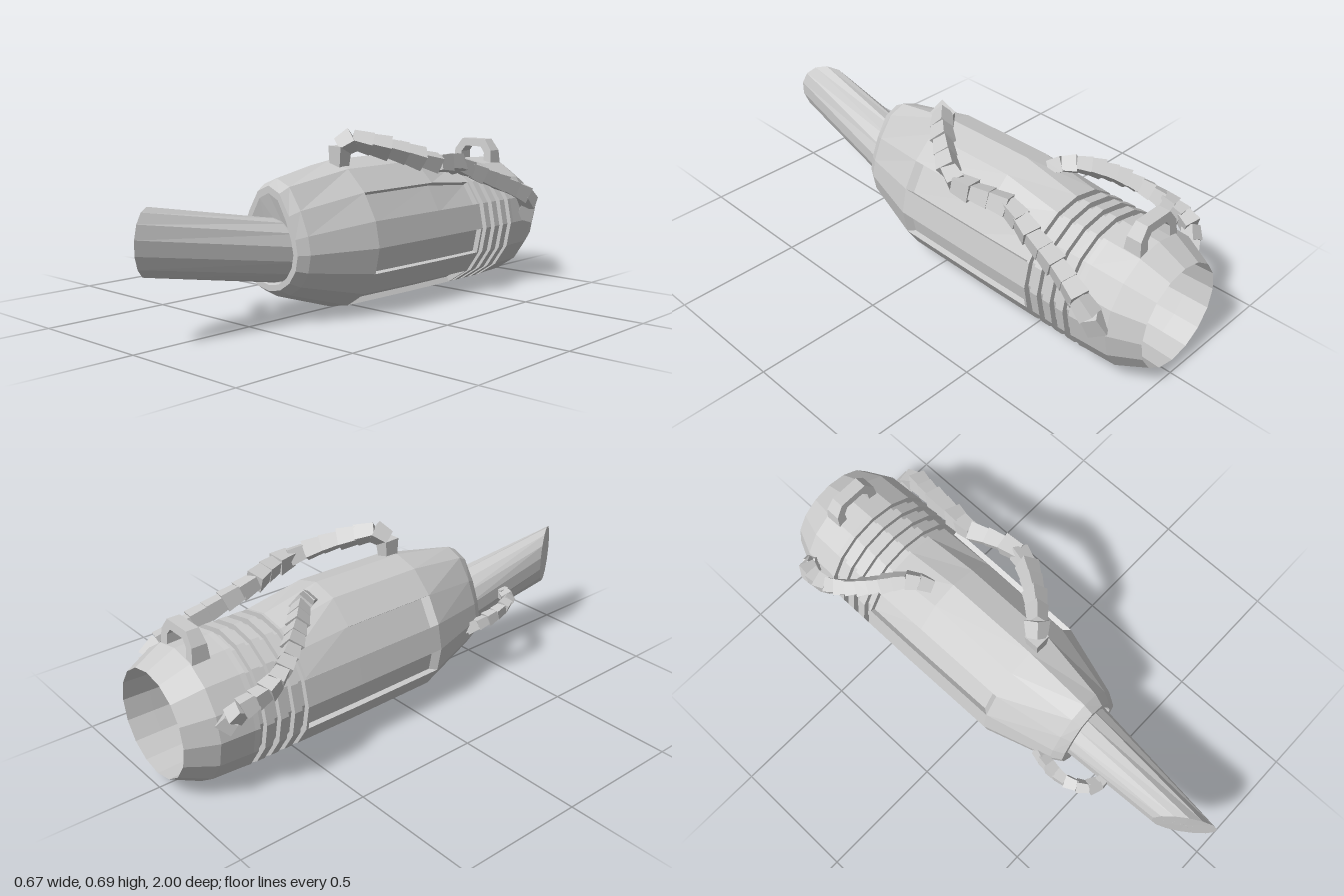
import * as THREE from 'three';

const SIDES = 16, CY = 0.262;
const mat = new THREE.MeshStandardMaterial({ color: 0xcccccc, flatShading: true, side: THREE.DoubleSide });

// Collects quads into a flat shaded mesh
function quadMesh(name, quads) {
  const pos = [];
  for (const [a, b, c, d] of quads) for (const p of [a, b, c, a, c, d]) pos.push(p.x, p.y, p.z);
  const geo = new THREE.BufferGeometry();
  geo.setAttribute('position', new THREE.Float32BufferAttribute(pos, 3));
  geo.computeVertexNormals();
  const mesh = new THREE.Mesh(geo, mat);
  mesh.name = name;
  return mesh;
}

// Quads between successive rings; skip(i, k) leaves a face open
function loft(rings, skip = () => false) {
  const quads = [];
  for (let i = 0; i + 1 < rings.length; i++) {
    const A = rings[i], B = rings[i + 1], n = A.length;
    for (let k = 0; k < n; k++) {
      const m = (k + 1) % n;
      if (!skip(i, k)) quads.push([A[k], B[k], B[m], A[m]]);
    }
  }
  return quads;
}

// Body cross-section starting at the bottom; lift raises the top into a hump
function bodyRing([z, r, lift = 0]) {
  const weights = [1, 0.85, 0.35];
  return Array.from({ length: SIDES }, (_, k) => {
    const a = (k / SIDES) * Math.PI * 2;
    const w = weights[Math.abs(k - SIDES / 2)] || 0;
    return new THREE.Vector3(r * Math.sin(a), CY - r * Math.cos(a) + lift * w, z);
  });
}

// Segmented hose: slightly flared square links along a curve
function hose(name, points, size, links) {
  const group = new THREE.Group();
  group.name = name;
  const curve = new THREE.CatmullRomCurve3(points.map(p => new THREE.Vector3(...p)));
  const pts = curve.getSpacedPoints(links);
  const up = new THREE.Vector3(0, 1, 0);
  for (let i = 0; i < links; i++) {
    const dir = pts[i + 1].clone().sub(pts[i]);
    const r = size * Math.SQRT1_2 * (i % 2 ? 1 : 0.92);
    const geo = new THREE.CylinderGeometry(r, r * 0.82, dir.length() * 1.12, 4);
    geo.rotateY(Math.PI / 4);
    const link = new THREE.Mesh(geo, mat);
    link.name = 'hoseLink';
    link.position.copy(pts[i]).lerp(pts[i + 1], 0.5);
    link.quaternion.setFromUnitVectors(up, dir.normalize());
    group.add(link);
  }
  return group;
}

export function createModel() {
  const model = new THREE.Group();

  // Body: front face, humped shell, ribbed neck, rear collar and hollow inside
  const profile = [
    [0.38, 0.001], [0.38, 0.12], [0.4, 0.125, 0.085], [0.4, 0.147, 0.09], [0.36, 0.172, 0.088],
    [0.09, 0.256, 0.05], [-0.3, 0.26, 0.05], [-0.53, 0.26],
  ];
  const panelStart = 5, panelEnd = 7;
  for (let i = 0; i < 4; i++) {
    const z = -0.54 - i * 0.058;
    profile.push([z, 0.26], [z, 0.238], [z - 0.026, 0.238], [z - 0.026, 0.26]);
  }
  profile.push([-0.76, 0.258], [-0.89, 0.252], [-1, 0.2], [-0.9, 0.197], [0.2, 0.17], [0.2, 0.001]);
  const rings = profile.map(bodyRing);
  const panels = [1, 3, 5, 10, 12, 14];
  model.add(quadMesh('body', loft(rings, (i, k) => i >= panelStart && i < panelEnd && panels.includes(k))));

  // Recessed side panels with their walls
  const quads = [];
  for (const k of panels) {
    const outer = [], inner = [];
    for (let i = panelStart; i <= panelEnd; i++) {
      const pair = [rings[i][k], rings[i][k + 1]];
      const mid = pair[0].clone().add(pair[1]).multiplyScalar(0.5);
      const shift = new THREE.Vector3(-mid.x, CY - mid.y, 0).setLength(0.022);
      outer.push(pair);
      inner.push(pair.map(p => p.clone().add(shift)));
    }
    inner[0].forEach(p => { p.z -= 0.025; });
    for (let i = 0; i < 2; i++) {
      quads.push([inner[i][0], inner[i + 1][0], inner[i + 1][1], inner[i][1]]);
      quads.push([outer[i][0], outer[i + 1][0], inner[i + 1][0], inner[i][0]]);
      quads.push([inner[i][1], inner[i + 1][1], outer[i + 1][1], outer[i][1]]);
    }
    quads.push([outer[0][0], inner[0][0], inner[0][1], outer[0][1]]);
    quads.push([inner[2][0], outer[2][0], outer[2][1], inner[2][1]]);
  }
  model.add(quadMesh('sidePanels', quads));

  // Nozzle: leaning tube with a slanted flat tip
  const oval = (cx, cy, cz, rx, ry, slant) => Array.from({ length: 14 }, (_, k) => {
    const a = (k / 14) * Math.PI * 2;
    const s = Math.sin(a);
    return new THREE.Vector3(cx + rx * s, cy - ry * Math.cos(a), cz + slant * s);
  });
  model.add(quadMesh('nozzle', loft([
    oval(-0.043, 0.352, 0.9, 0.0005, 0.0005, 0),
    oval(-0.043, 0.352, 0.9, 0.065, 0.118, 0.1),
    oval(0.007, 0.252, 0.32, 0.116, 0.118, 0),
  ])));

  // Carry loop on the rear collar
  const arch = [[0.1, 0.49], [0.095, 0.55], [0.06, 0.597]];
  const hole = [[0.04, 0.565], [0.06, 0.54], [0.06, 0.49]];
  const half = [...arch.map(([x, y]) => [-x, y]), ...arch.slice().reverse(),
    ...hole.slice().reverse(), ...hole.map(([x, y]) => [-x, y])];
  const loopGeo = new THREE.ExtrudeGeometry(
    new THREE.Shape(half.map(p => new THREE.Vector2(...p))), { depth: 0.07, bevelEnabled: false });
  // Narrow the loop toward its top
  const lp = loopGeo.attributes.position;
  for (let i = 0; i < lp.count; i++) {
    const t = (lp.getY(i) - 0.49) / 0.107;
    lp.setZ(i, (lp.getZ(i) - 0.035) * (1 - 0.3 * t));
  }
  loopGeo.computeVertexNormals();
  const loop = new THREE.Mesh(loopGeo, mat);
  loop.name = 'carryLoop';
  loop.position.set(-0.005, 0, -0.853);
  model.add(loop);

  // Hoses
  model.add(hose('leftHose', [
    [0.045, 0.55, 0.08], [0.055, 0.645, 0.07], [0.13, 0.63, 0], [0.21, 0.595, -0.1], [0.27, 0.555, -0.21],
    [0.25, 0.545, -0.33], [0.22, 0.53, -0.42], [0.24, 0.48, -0.55], [0.26, 0.43, -0.69],
    [0.285, 0.36, -0.83], [0.25, 0.28, -0.86]], 0.068, 18));
  model.add(hose('rightHose', [
    [-0.05, 0.54, -0.37], [-0.09, 0.565, -0.43], [-0.19, 0.53, -0.53], [-0.26, 0.48, -0.62],
    [-0.3, 0.43, -0.72], [-0.29, 0.39, -0.83], [-0.24, 0.32, -0.86]], 0.062, 14));
  model.add(hose('nozzleHose', [
    [-0.08, 0.295, 0.57], [-0.15, 0.295, 0.56], [-0.2, 0.295, 0.49], [-0.205, 0.275, 0.41],
    [-0.185, 0.25, 0.33], [-0.15, 0.23, 0.27]], 0.046, 9));

  return model;
}
